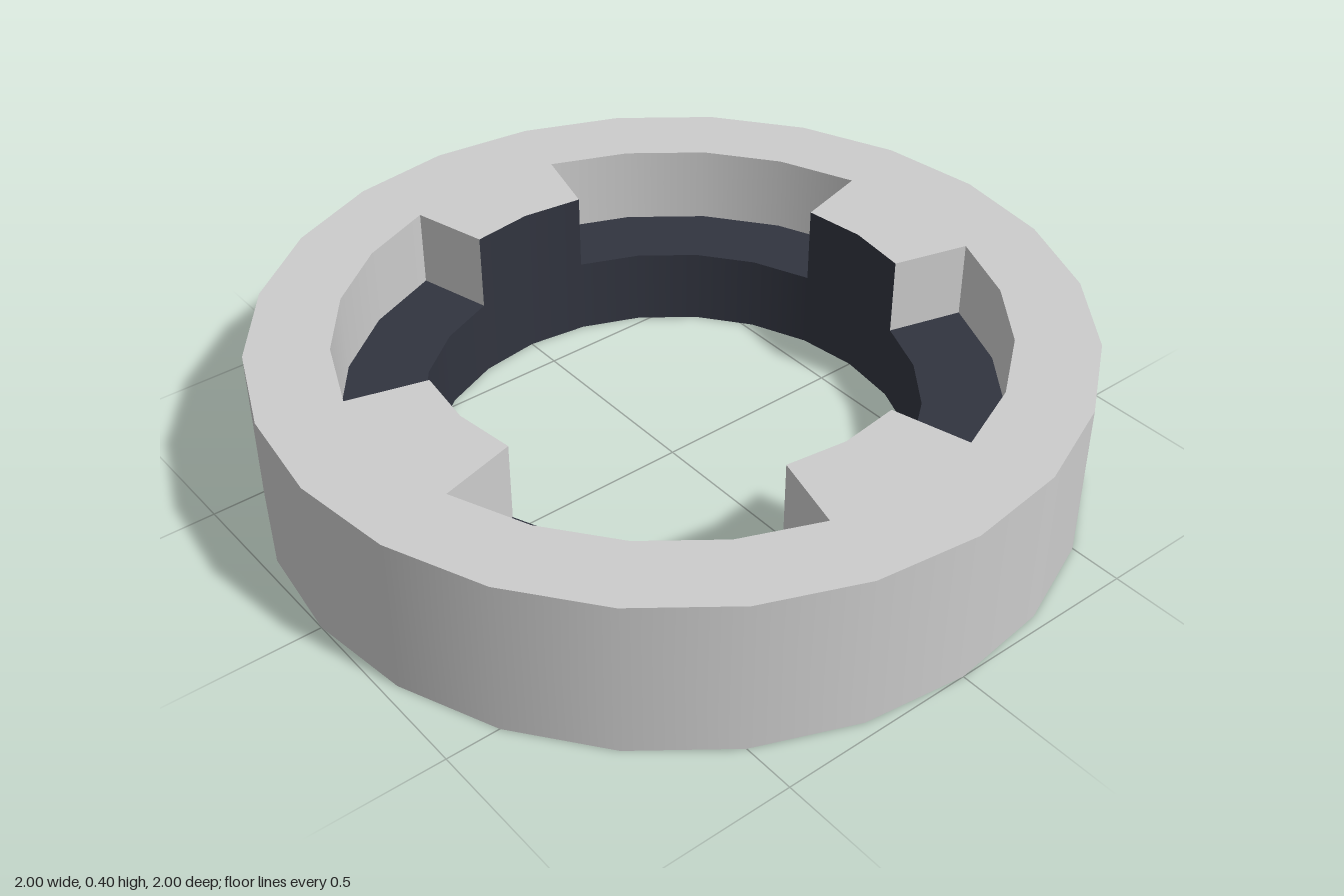
import * as THREE from 'three';

const OUTER = 1, POCKET = 0.8, BORE = 0.6; // radii
const TOP = 0.4, FLOOR = 0.2; // heights
const STEP = Math.PI / 12; // the ring has 24 sides

const grey = new THREE.MeshStandardMaterial({ color: 0xcccccc });
const dark = new THREE.MeshStandardMaterial({ color: 0x31343f });

export function createModel() {
  const group = new THREE.Group();

  const add = (name, geometry, material) => {
    const mesh = new THREE.Mesh(geometry, material);
    mesh.name = name;
    group.add(mesh);
  };

  // Sweeps a straight line [r0, y0] -> [r1, y1] over a number of sides.
  // Rising lines face outward, falling lines face the axis,
  // lines drawn inward face up and lines drawn outward face down.
  const band = (name, from, to, material, start = 0, sides = 24) => {
    const points = [new THREE.Vector2(...from), new THREE.Vector2(...to)];
    add(name, new THREE.LatheGeometry(points, sides, start * STEP, sides * STEP), material);
  };

  // Radial end wall of a tooth, facing lower (turn 0) or higher (turn PI) angles
  const toothSide = (name, angle, turn) => {
    const geometry = new THREE.PlaneGeometry(POCKET - BORE, TOP - FLOOR)
      .rotateY(turn)
      .translate((POCKET + BORE) / 2, (TOP + FLOOR) / 2, 0)
      .rotateY(angle * STEP - Math.PI / 2);
    add(name, geometry, grey);
  };

  // Full ring body
  band('outerWall', [OUTER, 0], [OUTER, TOP], grey);
  band('bottomFace', [BORE, 0], [OUTER, 0], grey);
  band('topRim', [OUTER, TOP], [POCKET, TOP], grey);
  band('boreWall', [BORE, FLOOR], [BORE, 0], dark);

  for (let i = 0; i < 4; i++) {
    const centre = i * 6;

    // Tooth reaching in to the bore
    band('toothTop', [POCKET, TOP], [BORE, TOP], grey, centre - 1, 2);
    band('toothInnerFace', [BORE, TOP], [BORE, FLOOR], dark, centre - 1, 2);
    toothSide('toothSideA', centre - 1, 0);
    toothSide('toothSideB', centre + 1, Math.PI);

    // Pocket between this tooth and the next
    band('pocketWall', [POCKET, TOP], [POCKET, FLOOR], grey, centre + 1, 4);
    band('pocketFloor', [POCKET, FLOOR], [BORE, FLOOR], dark, centre + 1, 4);
  }

  return group;
}
